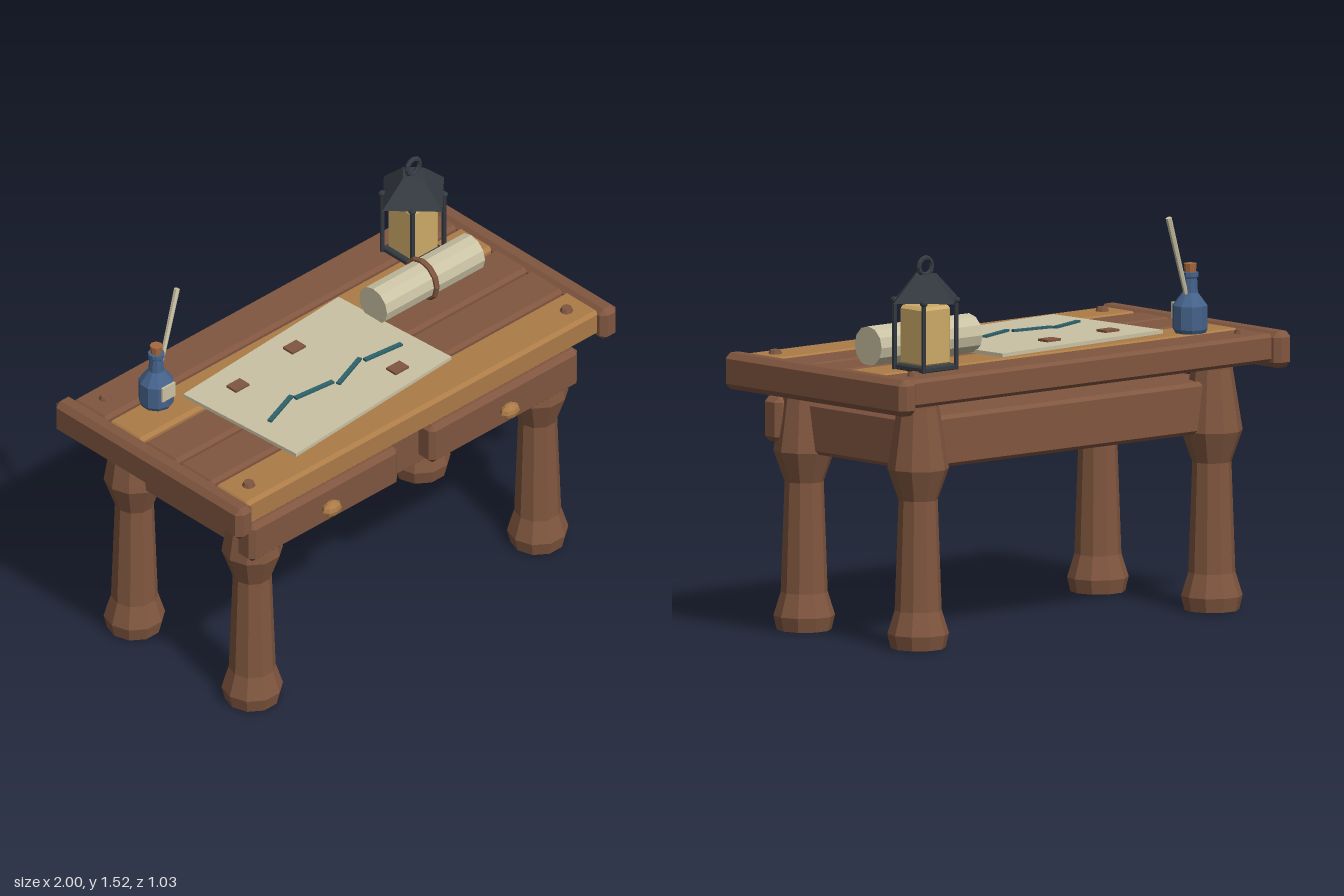
import * as THREE from 'three';
import { ConvexGeometry } from 'three/addons/geometries/ConvexGeometry.js';

const mat = (name, color) => {
  const m = new THREE.MeshStandardMaterial({ color, flatShading: true });
  m.name = name;
  return m;
};

export function createModel() {
  const wood = mat('dark wood', 0x80563f);
  const oak = mat('light oak', 0xac7b47);
  const paper = mat('parchment', 0xcac2a4);
  const blue = mat('blue glass', 0x45628a);
  const iron = mat('iron', 0x343a41);
  const glow = mat('lantern glass', 0xccaa68);
  const teal = mat('teal ink', 0x2f626b);
  const cork = mat('cork', 0xa8693f);

  const model = new THREE.Group();
  model.name = 'mapTable';

  const add = (name, geometry, material, x, y, z, parent = model) => {
    const mesh = new THREE.Mesh(geometry, material);
    mesh.name = name;
    mesh.position.set(x, y, z);
    parent.add(mesh);
    return mesh;
  };
  const group = (name, x, y, z) => {
    const g = new THREE.Group();
    g.name = name;
    g.position.set(x, y, z);
    model.add(g);
    return g;
  };
  // box with every edge chamfered by b
  const chamferBox = (w, h, d, b) => {
    const points = [];
    for (const sx of [-1, 1]) for (const sy of [-1, 1]) for (const sz of [-1, 1]) {
      const [x, y, z] = [w / 2, h / 2, d / 2];
      points.push(
        new THREE.Vector3(sx * x, sy * (y - b), sz * (z - b)),
        new THREE.Vector3(sx * (x - b), sy * y, sz * (z - b)),
        new THREE.Vector3(sx * (x - b), sy * (y - b), sz * z));
    }
    return new ConvexGeometry(points);
  };
  const lathe = (profile, sides) =>
    new THREE.LatheGeometry(profile.map(([r, y]) => new THREE.Vector2(r, y)), sides);

  // table top: five planks held by two end caps
  [oak, wood, wood, oak, wood].forEach((m, i) =>
    add('plank', chamferBox(1.86, 0.11, 0.183, 0.014), m, 0, 1.005, 0.39 - i * 0.195));
  for (const s of [-1, 1]) {
    add('endCap', chamferBox(0.086, 0.14, 1.03, 0.022), wood, s * 0.957, 0.998, 0);
    for (const z of [-0.395, 0.395])
      add('peg', new THREE.CylinderGeometry(0.02, 0.028, 0.02, 8), wood, s * 0.835, 1.066, z);
  }

  // turned legs
  const legProfile = [[0, 0], [0.105, 0], [0.118, 0.055], [0.09, 0.145], [0.075, 0.57],
    [0.118, 0.69], [0.08, 0.93], [0.08, 0.955], [0, 0.955]];
  for (const x of [-0.75, 0.75]) for (const z of [-0.325, 0.325])
    add('leg', lathe(legProfile, 10), wood, x, 0, z).rotation.y = Math.PI / 2;

  // drawer case with two drawers
  add('apron', chamferBox(1.58, 0.2, 0.72, 0.015), wood, 0, 0.785, 0);
  for (const s of [-1, 1]) {
    add('drawerFront', chamferBox(0.78, 0.172, 0.095, 0.02), wood, s * 0.473, 0.81, 0.395);
    add('drawerKnob', new THREE.SphereGeometry(1, 8, 6), oak, s * 0.468, 0.81, 0.468)
      .scale.set(0.046, 0.033, 0.03);
  }

  // map sheet with markers and a zigzag route
  const sheet = group('map', -0.16, 0, 0.065);
  sheet.rotation.y = 0.066;
  add('mapSheet', new THREE.BoxGeometry(0.872, 0.015, 0.583), paper, 0, 1.067, 0, sheet);
  for (const [x, z] of [[-0.43, -0.09], [-0.1, -0.125], [0.09, 0.245]])
    add('mapMarker', new THREE.BoxGeometry(0.07, 0.009, 0.053), wood, x, 1.079, z);
  for (const [x0, z0, x1, z1] of [[-0.505, 0.163, -0.33, 0.1], [-0.33, 0.12, -0.15, 0.14],
    [-0.145, 0.165, 0.03, 0.1], [0.035, 0.12, 0.21, 0.14]]) {
    const dash = new THREE.BoxGeometry(Math.hypot(x1 - x0, z1 - z0), 0.009, 0.018);
    add('mapRoute', dash, teal, (x0 + x1) / 2, 1.079, (z0 + z1) / 2)
      .rotation.y = -Math.atan2(z1 - z0, x1 - x0);
  }

  // rolled scroll with a strap
  const scroll = group('scroll', 0.513, 1.132, -0.063);
  add('scrollRoll', new THREE.CylinderGeometry(0.077, 0.077, 0.515, 12), paper, 0, 0, 0, scroll)
    .rotation.z = Math.PI / 2;
  add('scrollStrap', new THREE.TorusGeometry(0.079, 0.013, 6, 12), wood, 0, 0, 0, scroll)
    .rotation.y = Math.PI / 2;

  // lantern
  const lantern = group('lantern', 0.682, 0, -0.29);
  add('lanternBase', chamferBox(0.17, 0.026, 0.17, 0.006), iron, 0, 1.07, 0, lantern);
  add('lanternGlass', chamferBox(0.144, 0.23, 0.144, 0.012), glow, 0, 1.193, 0, lantern);
  for (const x of [-0.083, 0.083]) for (const z of [-0.083, 0.083]) {
    add('lanternPost', new THREE.CylinderGeometry(0.009, 0.009, 0.28, 6), iron, x, 1.195, z, lantern);
    add('postCap', chamferBox(0.026, 0.02, 0.026, 0.006), iron, x, 1.328, z, lantern);
  }
  add('lanternRoof', new THREE.CylinderGeometry(0.055, 0.162, 0.098, 4), iron, 0, 1.376, 0, lantern);
  add('lanternRing', new THREE.TorusGeometry(0.033, 0.01, 6, 12), iron, 0, 1.456, 0, lantern);

  // ink bottle with cork and label
  const bottle = group('inkBottle', -0.713, 0, -0.243);
  add('bottleBody', lathe([[0, 1.06], [0.06, 1.06], [0.068, 1.075], [0.068, 1.165], [0.03, 1.215],
    [0.027, 1.27], [0.032, 1.275], [0.032, 1.292], [0, 1.292]], 10), blue, 0, 0, 0, bottle);
  add('bottleCork', new THREE.CylinderGeometry(0.025, 0.021, 0.04, 8), cork, 0, 1.306, 0, bottle);
  add('bottleLabel', new THREE.BoxGeometry(0.068, 0.062, 0.009), paper, 0, 1.142, 0.066, bottle);

  // pen leaning on the bottle
  const start = new THREE.Vector3(-0.69, 1.2, -0.248);
  const end = new THREE.Vector3(-0.583, 1.515, -0.265);
  const dir = end.clone().sub(start);
  const mid = start.clone().add(end).multiplyScalar(0.5);
  add('pen', new THREE.CylinderGeometry(0.012, 0.009, dir.length(), 6), paper, mid.x, mid.y, mid.z)
    .quaternion.setFromUnitVectors(new THREE.Vector3(0, 1, 0), dir.normalize());

  return model;
}
